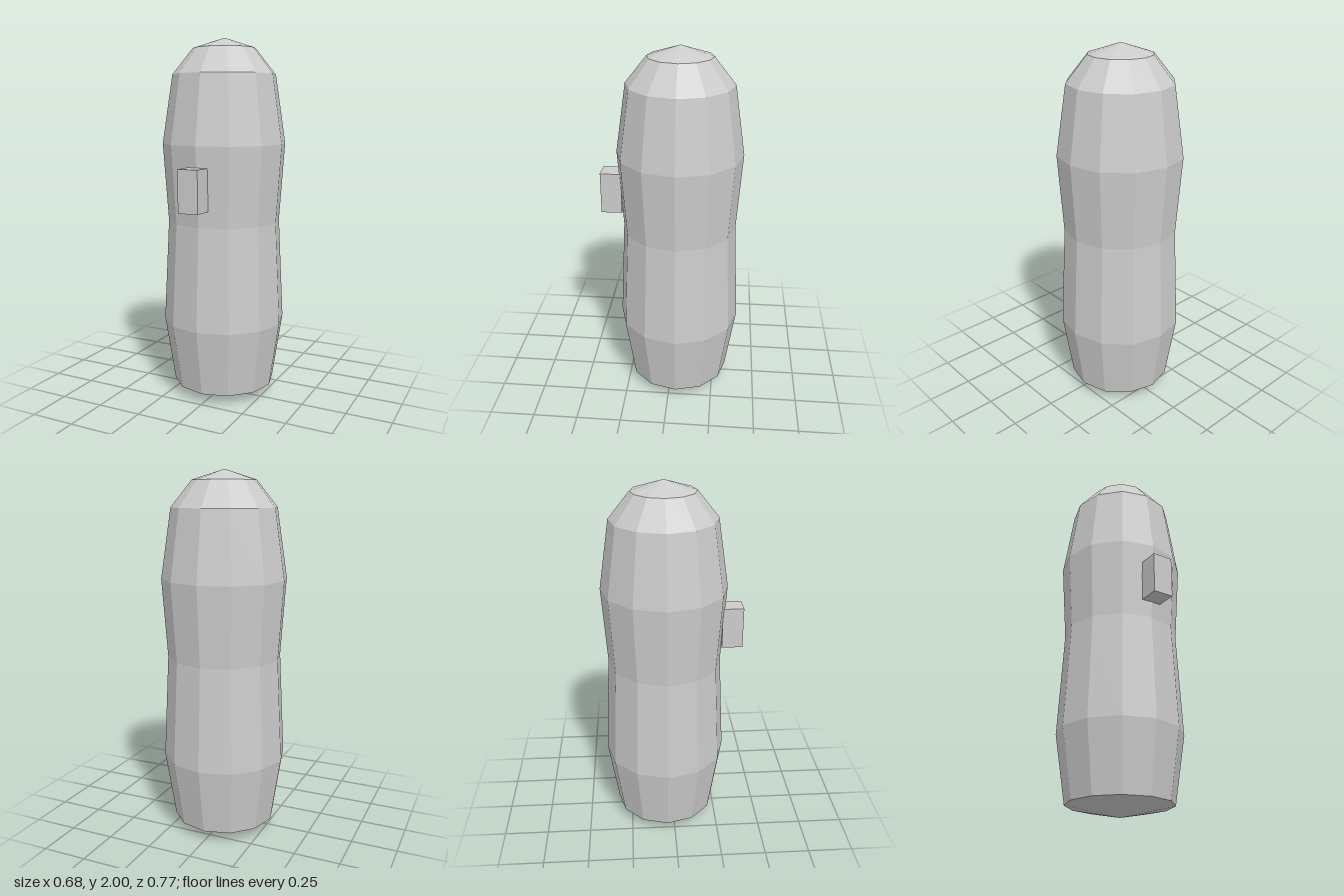
import * as THREE from 'three';

const grey = new THREE.MeshStandardMaterial({ color: 0xcccccc, flatShading: true });
grey.name = 'plain grey';

export function createModel() {
  const model = new THREE.Group();
  model.name = 'capsuleFigure';

  // Twelve-sided body with a slight waist, from the bottom tip to the crown
  const profile = [
    [0, 0], [0.285, 0.06], [0.342, 0.43], [0.313, 1.0],
    [0.342, 1.43], [0.285, 1.805], [0.172, 1.945], [0, 2],
  ].map(([r, y]) => new THREE.Vector2(r, y));
  const body = new THREE.Mesh(new THREE.LatheGeometry(profile, 12), grey);
  body.name = 'body';
  body.position.z = -0.043;

  // Small block on the front, its back edge sunk into the body
  const nose = new THREE.Mesh(new THREE.BoxGeometry(0.114, 0.228, 0.114), grey);
  nose.name = 'nose';
  nose.position.set(0, 1.204, 0.328);

  model.add(body, nose);
  return model;
}
